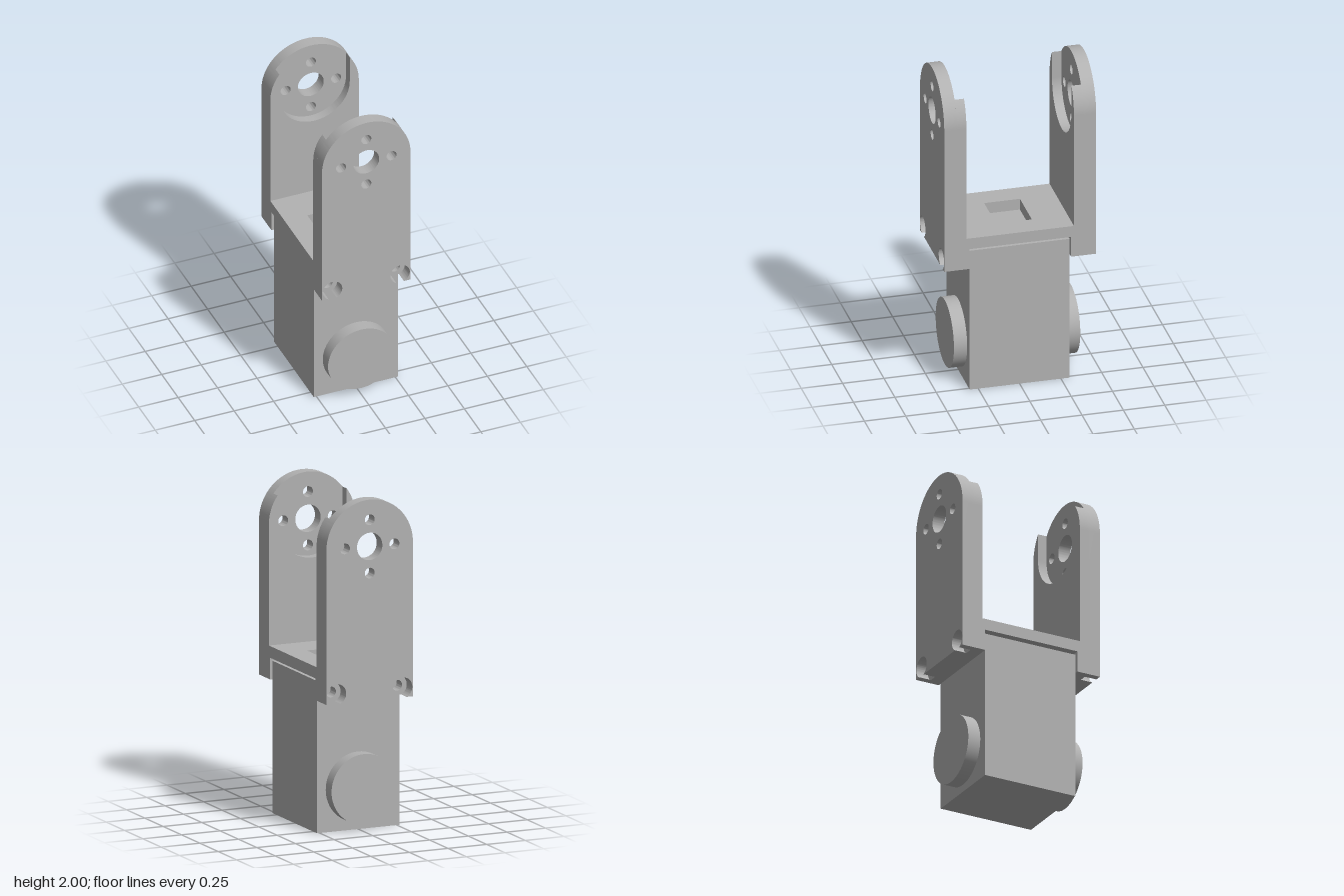
import * as THREE from 'three';
import { toCreasedNormals } from 'three/addons/utils/BufferGeometryUtils.js';

const W = 0.28, BOTTOM = 0.8, PIVOT = 1.724;       // plate half width, lower edge, pivot height
const SCREW_X = 0.214, SCREW_Y = 0.857, BORE = 0.062;
const Z_IN = 0.325, Z_STEP = 0.382, Z_OUT = 0.459; // plate layers

export function createModel() {
  const grey = new THREE.MeshStandardMaterial({ color: 0xb2b2b2 });
  grey.name = 'grey';
  const model = new THREE.Group();

  const add = (parent, name, geometry, x = 0, y = 0, z = 0) => {
    const mesh = new THREE.Mesh(geometry, grey);
    mesh.name = name;
    mesh.position.set(x, y, z);
    parent.add(mesh);
    return mesh;
  };
  const extrude = (shape, depth) => toCreasedNormals(
    new THREE.ExtrudeGeometry(shape, { depth, bevelEnabled: false, curveSegments: 40 }), 0.5);
  const hole = (shape, x, y, r) =>
    shape.holes.push(new THREE.Path().absarc(x, y, r, 0, Math.PI * 2, true));
  const screwHoles = (shape) => [-1, 1].forEach((s) => hole(shape, s * SCREW_X, SCREW_Y, 0.032));

  // Outer plate layer: round top, horn holes, counterbores that break through the lower edge
  const outer = new THREE.Shape();
  const drop = SCREW_Y - BOTTOM, chord = Math.sqrt(BORE * BORE - drop * drop);
  outer.moveTo(-W, BOTTOM);
  for (const s of [-1, 1]) {
    outer.lineTo(s * SCREW_X - chord, BOTTOM);
    outer.absarc(s * SCREW_X, SCREW_Y, BORE, Math.atan2(-drop, -chord), Math.atan2(-drop, chord), true);
  }
  outer.lineTo(W, BOTTOM);
  outer.lineTo(W, PIVOT);
  outer.absarc(0, PIVOT, W, 0, Math.PI, false);
  outer.closePath();
  hole(outer, 0, PIVOT, 0.082);
  for (const [x, y] of [[0.16, 0], [-0.16, 0], [0, 0.16], [0, -0.16]]) hole(outer, x, PIVOT + y, 0.032);

  // Inner plate layer: U-shaped recess open at the top
  const R = 0.223, tip = Math.acos(R / W);
  const inner = new THREE.Shape();
  inner.moveTo(-W, BOTTOM);
  inner.lineTo(W, BOTTOM);
  inner.lineTo(W, PIVOT);
  inner.absarc(0, PIVOT, W, 0, tip, false);
  inner.lineTo(R, PIVOT);
  inner.absarc(0, PIVOT, R, 0, -Math.PI, true);
  inner.lineTo(-R, PIVOT + W * Math.sin(tip));
  inner.absarc(0, PIVOT, W, Math.PI - tip, Math.PI, false);
  inner.closePath();
  screwHoles(inner);

  // Thickened foot below the bridge
  const foot = new THREE.Shape();
  foot.moveTo(-W, BOTTOM);
  foot.lineTo(W, BOTTOM);
  foot.lineTo(W, 0.93);
  foot.lineTo(-W, 0.93);
  foot.closePath();
  screwHoles(foot);

  // Front and back arms with the matching bearing disc
  const disc = new THREE.CylinderGeometry(0.21, 0.21, 0.09, 64).rotateX(Math.PI / 2);
  for (const [name, turn] of [['front', 0], ['back', Math.PI]]) {
    const side = new THREE.Group();
    side.name = name + 'Arm';
    side.rotation.y = turn;
    add(side, 'outerPlate', extrude(outer, Z_OUT - Z_STEP), 0, 0, Z_STEP);
    add(side, 'recessedPlate', extrude(inner, Z_STEP - Z_IN), 0, 0, Z_IN);
    add(side, 'foot', extrude(foot, Z_IN - 0.308), 0, 0, 0.308);
    add(side, 'bearingDisc', disc, 0, 0.255, 0.337);
    model.add(side);
  }

  // Bridge joining the arms, with a square opening
  const deck = new THREE.Shape();
  deck.moveTo(-W, -Z_IN);
  deck.lineTo(W, -Z_IN);
  deck.lineTo(W, Z_IN);
  deck.lineTo(-W, Z_IN);
  deck.closePath();
  const opening = new THREE.Path();
  opening.moveTo(-0.136, -0.108);
  opening.lineTo(-0.136, 0.108);
  opening.lineTo(0.136, 0.108);
  opening.lineTo(0.136, -0.108);
  opening.closePath();
  deck.holes.push(opening);
  add(model, 'bridge', extrude(deck, 0.07).rotateX(-Math.PI / 2), 0, 0.93, 0);

  // Main block
  add(model, 'body', new THREE.BoxGeometry(0.534, 0.912, 0.604), 0, 0.456, 0);
  return model;
}
